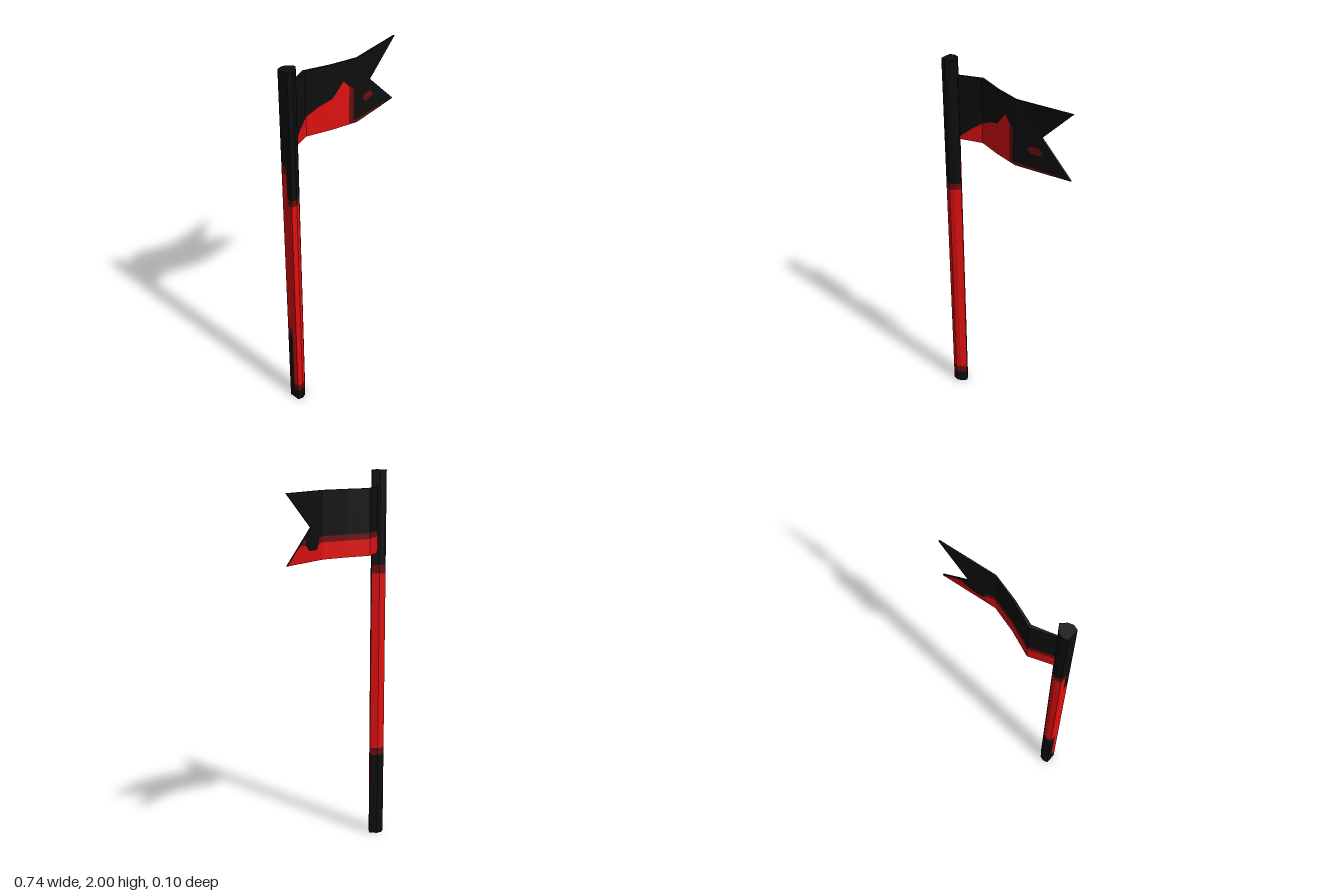
import * as THREE from 'three';

const black = new THREE.MeshStandardMaterial({ color: 0x0e0e0e });
black.name = 'black';
const red = new THREE.MeshStandardMaterial({ color: 0xe01010 });
red.name = 'red';
const darkRed = new THREE.MeshStandardMaterial({ color: 0x680e0e });
darkRed.name = 'dark red';

// Flat-shaded mesh from a list of triangle corners
function facets(name, corners, material) {
  const geometry = new THREE.BufferGeometry().setFromPoints(corners);
  geometry.computeVertexNormals();
  const mesh = new THREE.Mesh(geometry, material);
  mesh.name = name;
  return mesh;
}
const v = (x, y, z) => new THREE.Vector3(x, y, z);

// Pole: uneven octagon, its front and back halves painted at different heights
const frontHalf = [[-0.293, 0.016], [-0.318, 0.041], [-0.344, 0.05], [-0.37, 0.042], [-0.37, 0.014]];
const backHalf = [[-0.37, 0.014], [-0.37, -0.018], [-0.344, -0.026], [-0.318, -0.018], [-0.293, 0.016]];

function wall(name, points, y0, y1, material) {
  const out = [];
  for (let i = 0; i < points.length - 1; i++) {
    const [ax, az] = points[i], [bx, bz] = points[i + 1];
    out.push(v(bx, y0, bz), v(ax, y0, az), v(ax, y1, az));
    out.push(v(bx, y0, bz), v(ax, y1, az), v(bx, y1, bz));
  }
  return facets(name, out, material);
}

function createPole() {
  const pole = new THREE.Group();
  pole.name = 'pole';
  const colours = [black, darkRed, red, darkRed, black];
  const halves = [
    ['poleFront', frontHalf, [0, 0.065, 0.107, 1.295, 1.33, 2]],
    ['poleBack', backHalf, [0, 0.46, 0.5, 1.465, 1.51, 2]],
  ];
  for (const [name, points, ys] of halves) {
    colours.forEach((c, i) => pole.add(wall(name, points, ys[i], ys[i + 1], c)));
  }
  const ring = [...frontHalf.slice(0, 4), ...backHalf.slice(0, 4)];
  const caps = [];
  for (let i = 1; i < ring.length - 1; i++) {
    const at = (k, y) => v(ring[k][0], y, ring[k][1]);
    caps.push(at(0, 2), at(i + 1, 2), at(i, 2), at(0, 0), at(i, 0), at(i + 1, 0));
  }
  pole.add(facets('poleCaps', caps, black));
  return pole;
}

// Flag: folded strip with a swallow-tail end
const LOW = 1.575, HIGH = 1.915, MID = 1.745;
const folds = [[-0.31, -0.002, 0.004], [-0.19, -0.044, 0.008], [-0.06, 0.003, 0.005], [0.073, 0.038, 0.004]];

// Surface depth on the front (side 1) or back (side -1)
function depth(x, y, side) {
  for (let i = 0; i < 3; i++) {
    const [x0, z0, h0] = folds[i], [x1, z1, h1] = folds[i + 1];
    if (x <= x1) {
      const t = (x - x0) / (x1 - x0);
      return z0 + (z1 - z0) * t + side * (h0 + (h1 - h0) * t);
    }
  }
  const tail = (0.2 + Math.abs(y - MID) - x) / 0.297;
  const middle = (0.2 - x) / 0.127;
  return 0.004 + 0.034 * Math.max(tail, middle) + side * 0.004;
}

function flagBody() {
  const outline = [
    ...folds.map(([x]) => [x, LOW]), [0.37, LOW], [0.2, MID], [0.37, HIGH],
    ...folds.map(([x]) => [x, HIGH]).reverse(),
  ];
  const at = (k, side) => v(...outline[k], depth(...outline[k], side));
  const triangles = [[3, 4, 5], [3, 5, 7], [5, 6, 7]];
  for (let i = 0; i < 3; i++) triangles.push([i, i + 1, 9 - i], [i, 9 - i, 10 - i]);
  const out = [];
  for (const [a, b, c] of triangles) {
    out.push(at(a, 1), at(b, 1), at(c, 1), at(a, -1), at(c, -1), at(b, -1));
  }
  for (let i = 0; i < outline.length; i++) {
    const j = (i + 1) % outline.length;
    out.push(at(i, -1), at(j, -1), at(j, 1), at(i, -1), at(j, 1), at(i, 1));
  }
  return facets('flagCloth', out, black);
}

// Thin painted patch on the cloth; columns are [x, bottom, top]
function patch(name, columns, side, material) {
  const out = [], steps = 5, rows = 6;
  const at = (a, b, s, r) => {
    const [x, lo, hi] = a.map((n, k) => n + (b[k] - n) * s / steps);
    const y = lo + (hi - lo) * r / rows;
    return v(x, y, depth(x, y, side) + side * 0.0015);
  };
  for (let i = 0; i < columns.length - 1; i++) {
    const a = columns[i], b = columns[i + 1];
    for (let s = 0; s < steps; s++) {
      for (let r = 0; r < rows; r++) {
        const p = at(a, b, s, r), q = at(a, b, s + 1, r);
        const t = at(a, b, s + 1, r + 1), u = at(a, b, s, r + 1);
        if (side > 0) out.push(p, q, t, p, t, u);
        else out.push(p, t, q, p, u, t);
      }
    }
  }
  return facets(name, out, material);
}

function createFlag() {
  const flag = new THREE.Group();
  flag.name = 'flag';
  flag.add(flagBody());
  // Front paint
  flag.add(patch('frontRedPeak', [
    [-0.31, LOW, 1.585], [-0.24, LOW, 1.645], [-0.19, LOW, 1.68], [-0.13, LOW, 1.715],
    [-0.06, LOW, 1.74], [0, LOW, 1.815], [0.03, LOW, 1.78],
  ], 1, red));
  flag.add(patch('frontPeakEdge', [[0.03, LOW, 1.78], [0.055, LOW, 1.765]], 1, darkRed));
  flag.add(patch('frontSpot', [
    [0.13, 1.67, 1.68], [0.15, 1.655, 1.69], [0.19, 1.655, 1.69], [0.21, 1.66, 1.67],
  ], 1, darkRed));
  flag.add(patch('frontHem', [[0.055, LOW, 1.59], [0.073, LOW, 1.59], [0.28, LOW, 1.583]], 1, darkRed));
  // Back paint
  flag.add(patch('backRedBand', [
    [-0.31, LOW, 1.66], [-0.19, LOW, 1.66], [-0.06, LOW, 1.66], [0.073, LOW, 1.66], [0.12, LOW, 1.66],
    [0.14, LOW, 1.63], [0.2, LOW, 1.63], [0.235, LOW, 1.66], [0.285, LOW, 1.66], [0.37, LOW, LOW],
  ], -1, red));
  flag.add(patch('backBandEdge', [
    [-0.31, 1.66, 1.69], [-0.19, 1.66, 1.69], [-0.06, 1.66, 1.69], [0.073, 1.66, 1.69], [0.12, 1.66, 1.69],
  ], -1, darkRed));
  flag.add(patch('backTailEdge', [[0.235, 1.66, 1.69], [0.255, 1.66, 1.69], [0.285, 1.66, 1.66]], -1, darkRed));
  return flag;
}

export function createModel() {
  const model = new THREE.Group();
  model.name = 'flagOnPole';
  model.add(createPole(), createFlag());
  return model;
}
